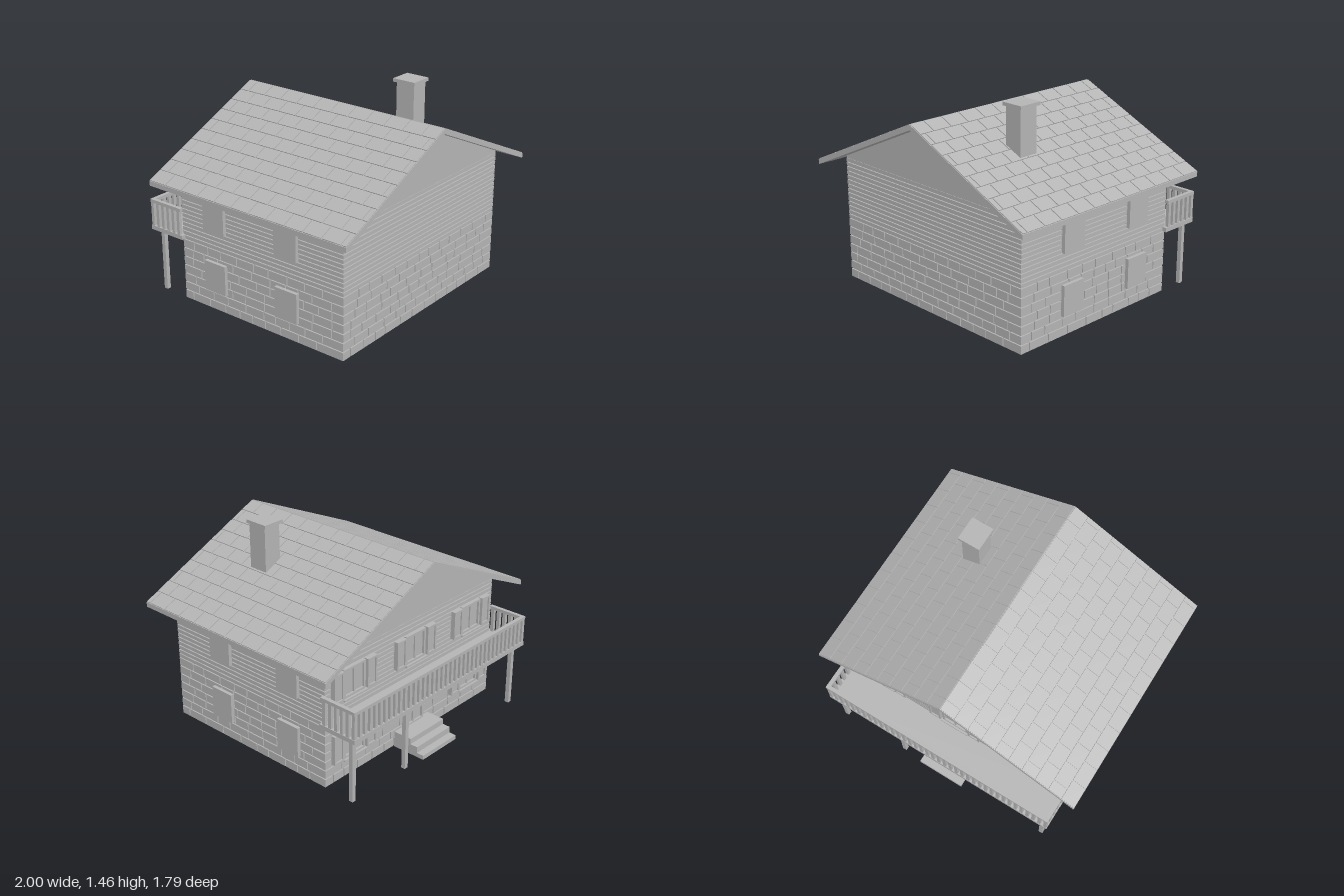
import * as THREE from 'three';
import { mergeGeometries } from 'three/addons/utils/BufferGeometryUtils.js';

const grey = new THREE.MeshStandardMaterial({ color: 0xb4b4b4 });
grey.name = 'plain grey';

// Box geometry from its min and max corners
function span(x0, x1, y0, y1, z0, z1) {
  return new THREE.BoxGeometry(x1 - x0, y1 - y0, z1 - z0)
    .translate((x0 + x1) / 2, (y0 + y1) / 2, (z0 + z1) / 2);
}

function part(name, geometries) {
  const mesh = new THREE.Mesh(mergeGeometries(geometries), grey);
  mesh.name = name;
  return mesh;
}

function seeded(seed) {
  return () => (seed = (seed * 16807) % 2147483647) / 2147483647;
}

// Outer faces of the walls
const W = 0.857, BACK = -0.62, FRONT = 0.76, MID = (BACK + FRONT) / 2, HALF = (FRONT - BACK) / 2;
const RISE = 0.455; // roof drop per unit of x

// Seven courses of blocks on one wall, facing +z before being turned
function stoneWall(halfWidth, distance, angle, seed) {
  const random = seeded(seed), blocks = [], course = 0.064, gap = 0.008;
  for (let row = 0; row < 7; row++) {
    let x = -halfWidth;
    const y = row * course;
    while (x < halfWidth - 0.001) {
      let end = x + (x === -halfWidth ? 0.07 + 0.1 * random() : 0.1 + 0.08 * random());
      if (end > halfWidth - 0.07) end = halfWidth;
      blocks.push(span(x + (x > -halfWidth ? gap : 0), end, y + gap, y + course, distance - 0.02, distance));
      x = end;
    }
  }
  return blocks.map(b => b.rotateY(angle).translate(0, 0, MID));
}

// Window or door with frame, crossbars and optional shutters on the back wall
function backOpening(name, x, y0, y1, w, shutters) {
  const z = BACK, bar = 0.016, h = w / 2;
  const g = [
    span(x - h, x + h, y0, y1, z - 0.005, z + 0.02),
    span(x - h, x - h + bar, y0, y1, z - 0.02, z),
    span(x + h - bar, x + h, y0, y1, z - 0.02, z),
    span(x - h + bar, x + h - bar, y1 - bar, y1, z - 0.02, z),
    span(x - h + bar, x + h - bar, y0, y0 + bar, z - 0.02, z),
    span(x - 0.007, x + 0.007, y0 + bar, y1 - bar, z - 0.015, z),
  ];
  if (shutters) {
    g.push(span(x - h - 0.01, x + h + 0.01, y0 - 0.012, y0, z - 0.035, z));
    for (const s of [-1, 1]) {
      const c = x + s * (h + 0.055);
      g.push(span(c - 0.045, c + 0.045, y0, y1, z - 0.022, z + 0.01));
      for (const e of [-1, 1]) {
        g.push(span(c + e * 0.038 - 0.007, c + e * 0.038 + 0.007, y0, y1, z - 0.032, z - 0.02));
        const ry = e < 0 ? y0 : y1 - 0.014;
        g.push(span(c - 0.031, c + 0.031, ry, ry + 0.014, z - 0.032, z - 0.02));
      }
    }
  }
  return part(name, g);
}

export function createModel() {
  const house = new THREE.Group();
  house.name = 'house';

  // Stone ground floor
  house.add(part('groundFloorCore', [span(-W + 0.01, W - 0.01, 0, 0.46, BACK + 0.01, FRONT - 0.01)]));
  house.add(part('stoneBlocks', [
    ...stoneWall(W, HALF, 0, 11),
    ...stoneWall(W, HALF, Math.PI, 23),
    ...stoneWall(HALF, W, Math.PI / 2, 37),
    ...stoneWall(HALF, W, -Math.PI / 2, 51),
  ]));

  // Upper floor with horizontal boards
  house.add(part('upperFloorCore', [span(-W + 0.01, W - 0.01, 0.45, 0.9, BACK + 0.01, FRONT - 0.01)]));
  const boards = [];
  for (let i = 0; i < 14; i++) {
    const y = 0.455 + i * 0.032;
    boards.push(span(-W, W, y, y + 0.025, BACK, FRONT));
  }
  house.add(part('wallBoards', boards));

  // Gable prism filling the space under the roof
  const gable = new THREE.Shape();
  gable.moveTo(-W, 0.895).lineTo(W, 0.895).lineTo(W, 0.911).lineTo(0, 1.301).lineTo(-W, 0.911);
  house.add(part('gable', [
    new THREE.ExtrudeGeometry(gable, { depth: FRONT - BACK - 0.006, bevelEnabled: false }).translate(0, 0, BACK + 0.003),
  ]));

  // Roof slab
  const R0 = -0.765, R1 = 0.892, top = 1.334;
  const slab = new THREE.Shape();
  slab.moveTo(0, top).lineTo(-1, top - RISE).lineTo(-1, 0.845).lineTo(0, 1.3).lineTo(1, 0.845).lineTo(1, top - RISE);
  house.add(part('roofSlab', [
    new THREE.ExtrudeGeometry(slab, { depth: R1 - R0, bevelEnabled: false }).translate(0, 0, R0),
  ]));

  // Shingles in staggered rows, mirrored on both slopes
  const slope = Math.atan(RISE), length = 0.1 / Math.cos(slope), shingles = [];
  for (const side of [-1, 1]) {
    for (let row = 0; row < 10; row++) {
      const x = 0.05 + row * 0.1;
      let z = R0;
      for (let n = 0; z < R1 - 0.001; n++) {
        const end = Math.min(R1, R0 + (n + (row % 2 ? 1 : 0.5)) * 0.147);
        const g = new THREE.BoxGeometry(length - 0.006, 0.008, end - z - 0.007);
        g.rotateZ(-side * slope);
        g.translate(side * x, top + 0.002 - x * RISE, (z + end) / 2);
        shingles.push(g);
        z = end;
      }
    }
  }
  house.add(part('shingles', shingles));

  // Chimney
  house.add(part('chimney', [
    span(0.355, 0.487, 1.08, 1.436, 0.257, 0.4),
    span(0.34, 0.502, 1.436, 1.46, 0.237, 0.413),
  ]));

  // Plain raised window panels on both side walls
  const panels = [];
  for (const s of [-1, 1]) for (const z of [-0.31, 0.31]) for (const [y0, y1] of [[0.15, 0.365], [0.583, 0.795]]) {
    const c = s * (W + 0.004);
    panels.push(span(c - 0.021, c + 0.021, y0, y1, z - 0.092, z + 0.092));
  }
  house.add(part('sideWindows', panels));

  // Windows and double door on the back
  for (const x of [-0.6, 0, 0.6]) house.add(backOpening('upperWindow', x, 0.595, 0.8, 0.2, true));
  for (const x of [-0.6, 0.6]) house.add(backOpening('lowerWindow', x, 0.155, 0.365, 0.2, true));
  house.add(backOpening('door', 0, 0.11, 0.4, 0.2, false));

  // Balcony floor, railing and posts
  const B0 = -0.895, B1 = -0.6, L = 0.888;
  house.add(part('balconyFloor', [span(-L, L, 0.455, 0.486, B0, B1)]));
  const rail = [span(-L, L, 0.657, 0.68, B0, B0 + 0.027)];
  const baluster = (x, z) => rail.push(span(x - 0.012, x + 0.012, 0.48, 0.66, z - 0.012, z + 0.012));
  for (let i = 0; i <= 37; i++) baluster(-0.873 + i * 1.746 / 37, B0 + 0.014);
  for (const s of [-1, 1]) {
    rail.push(span(s * 0.8745 - 0.0135, s * 0.8745 + 0.0135, 0.657, 0.68, B0 + 0.027, B1 - 0.01));
    for (let i = 1; i < 6; i++) baluster(s * 0.873, B0 + 0.014 + i * 0.049);
  }
  house.add(part('balconyRailing', rail));
  house.add(part('balconyPosts', [-0.83, 0.33, 0.84].map(x => span(x - 0.015, x + 0.015, 0, 0.46, -0.85, -0.82))));

  // Entrance steps
  house.add(part('steps', [
    span(-0.17, 0.18, 0, 0.115, -0.76, BACK),
    span(-0.17, 0.18, 0, 0.075, -0.817, -0.76),
    span(-0.17, 0.18, 0, 0.031, -0.87, -0.817),
  ]));
  return house;
}
